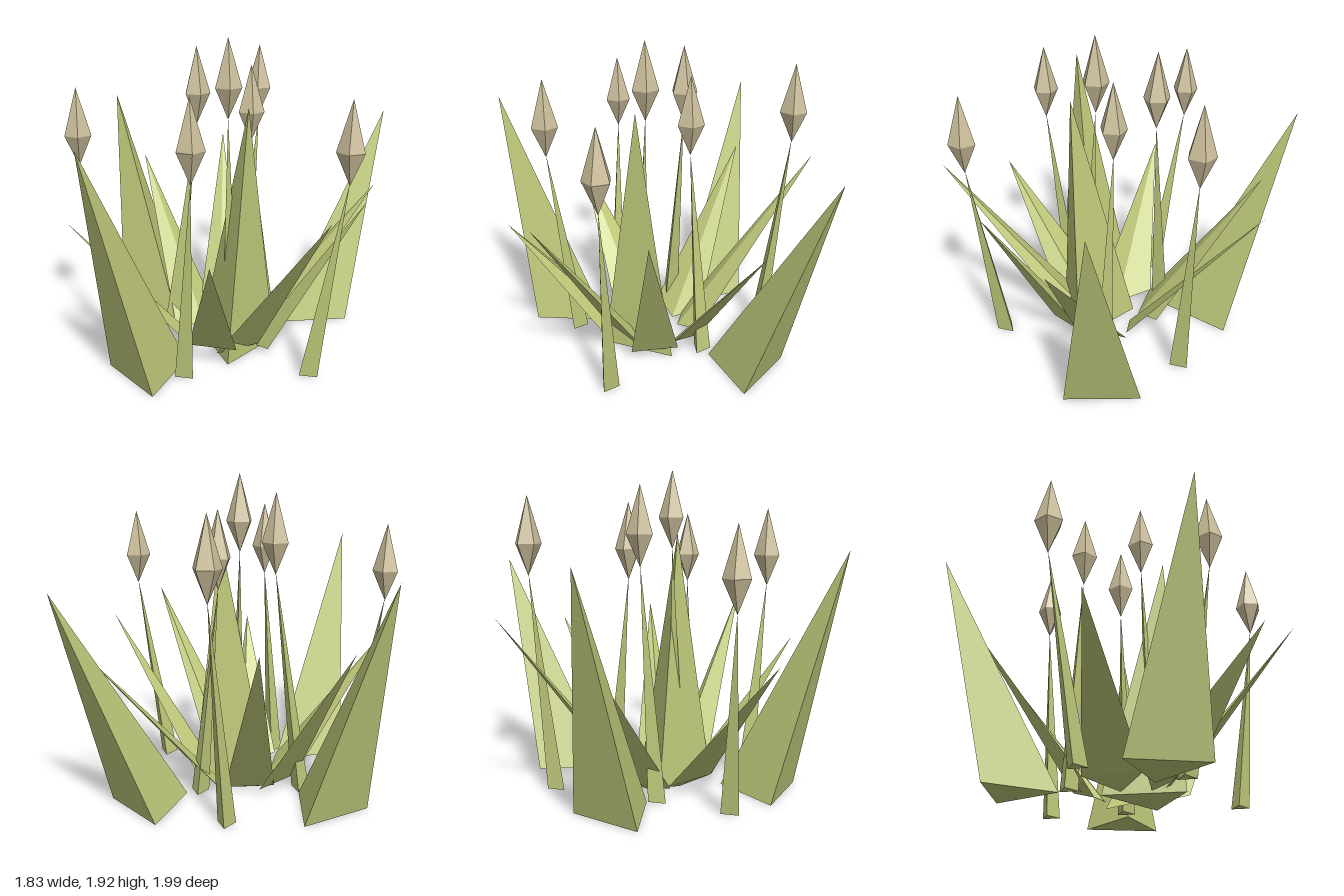
import * as THREE from 'three';

const leafMat = new THREE.MeshStandardMaterial({ color: 0xbfc87a, flatShading: true });
leafMat.name = 'leaf green';
const budMat = new THREE.MeshStandardMaterial({ color: 0xcdc09c, flatShading: true });
budMat.name = 'bud tan';

// Pointed three-sided spike: three base corners and a tip, faces turned outward
function spike(tip, corners) {
  const t = new THREE.Vector3(...tip);
  let [a, b, c] = corners.map((p) => new THREE.Vector3(...p));
  const n = b.clone().sub(a).cross(c.clone().sub(a));
  if (n.dot(t.clone().sub(a)) < 0) [b, c] = [c, b];
  const points = [a, b, t, b, c, t, c, a, t, a, c, b];
  const geo = new THREE.BufferGeometry().setFromPoints(points);
  geo.computeVertexNormals();
  return geo;
}

// Regular base triangle on the ground: centre x, z, radius and turn
function baseTriangle(x, z, r, turn) {
  return [0, 1, 2].map((i) => {
    const a = turn + (i * Math.PI * 2) / 3;
    return [x + r * Math.sin(a), 0, z + r * Math.cos(a)];
  });
}

export function createModel() {
  const model = new THREE.Group();
  const add = (name, geo, mat, parent = model) => {
    const mesh = new THREE.Mesh(geo, mat);
    mesh.name = name;
    parent.add(mesh);
    return mesh;
  };

  // Broad upright leaves
  const broad = [
    [[-0.9, 1.42, -0.65], [[-0.43, 0, -0.59], [-0.78, 0, -0.3], [-0.36, 0, -0.15]]],
    [[0.92, 1.35, -0.82], [[0.41, 0, -0.69], [0.75, 0, -0.39], [0.32, 0, -0.25]]],
    [[-0.55, 1.46, 1.0], [[-0.59, 0, 0.53], [-0.16, 0, 0.37], [-0.24, 0, 0.82]]],
    [[0.18, 1.54, 0.18], [[-0.16, 0, -0.02], [0.32, 0, -0.02], [0.1, 0, 0.38]]],
  ];
  for (const [tip, corners] of broad) add('broadLeaf', spike(tip, corners), leafMat);

  // Slim leaves leaning outward
  const slim = [
    [[-0.69, 1.02, -0.59], [[-0.33, 0.06, 0], [-0.13, 0.06, -0.27], [-0.15, 0, -0.08]]],
    [[-0.22, 1.1, -0.99], [[0.09, 0.04, -0.22], [-0.21, 0.05, -0.17], [-0.05, 0, -0.1]]],
    [[0.89, 0.94, -0.45], [[0.37, 0.14, -0.03], [0.09, 0, -0.22], [0.15, 0.02, -0.06]]],
    [[0.87, 1.02, 0.17], [[0.3, 0.05, 0.06 - 0.12], [0.32, 0.05, 0.23], [0.18, 0, 0.08]]],
    [[0.72, 1.09, 0.78], [[0.02, 0.04, 0.33], [0.25, 0.05, 0.17], [0.1, 0, 0.13]]],
    [[0.12, 0.86, 0.94], [[-0.16, 0.07, 0.31], [0.16, 0.12, 0.41], [0.04, 0, 0.19]]],
    [[-0.83, 0.86, 0.47], [[-0.33, 0.07, -0.01], [-0.17, 0.07, 0.3], [-0.14, 0, 0.11]]],
  ];
  for (const [tip, corners] of slim) add('slimLeaf', spike(tip, corners), leafMat);

  // Five-sided bud, widest ring at y = 0
  const upper = new THREE.ConeGeometry(0.083, 0.285, 5, 1, true).translate(0, 0.1425, 0);
  const lower = new THREE.ConeGeometry(0.083, 0.19, 5, 1, true);
  lower.rotateZ(Math.PI).translate(0, -0.095, 0);

  // Stalks: bud centre x, y, z, bud turn in degrees, stalk foot x, z
  const stalks = [
    [-0.845, 1.34, 0.22, 21, -0.64, 0.27],
    [-0.205, 1.55, -0.15, 31, -0.36, -0.08],
    [-0.035, 1.41, 0.7, 23, -0.12, 0.55],
    [0.045, 1.64, 0.11, 20, 0.08, 0.16],
    [0.135, 1.45, -0.145, 20, 0.25, -0.21],
    [0.78, 1.375, 0.42, -5, 0.59, 0.385],
    [0.08, 1.49, -0.765, 3, 0.015, -0.62],
  ];
  for (const [x, y, z, turn, fx, fz] of stalks) {
    const stalk = new THREE.Group();
    stalk.name = 'stalk';
    model.add(stalk);
    const foot = baseTriangle(fx, fz, 0.062, Math.PI / 3);
    add('stem', spike([x, y - 0.17, z], foot), leafMat, stalk);
    const bud = new THREE.Group();
    bud.name = 'bud';
    bud.position.set(x, y, z);
    bud.rotation.y = THREE.MathUtils.degToRad(turn);
    stalk.add(bud);
    add('budTop', upper, budMat, bud);
    // The flipped cone is turned so both rings share corners
    add('budBottom', lower, budMat, bud);
  }
  return model;
}
